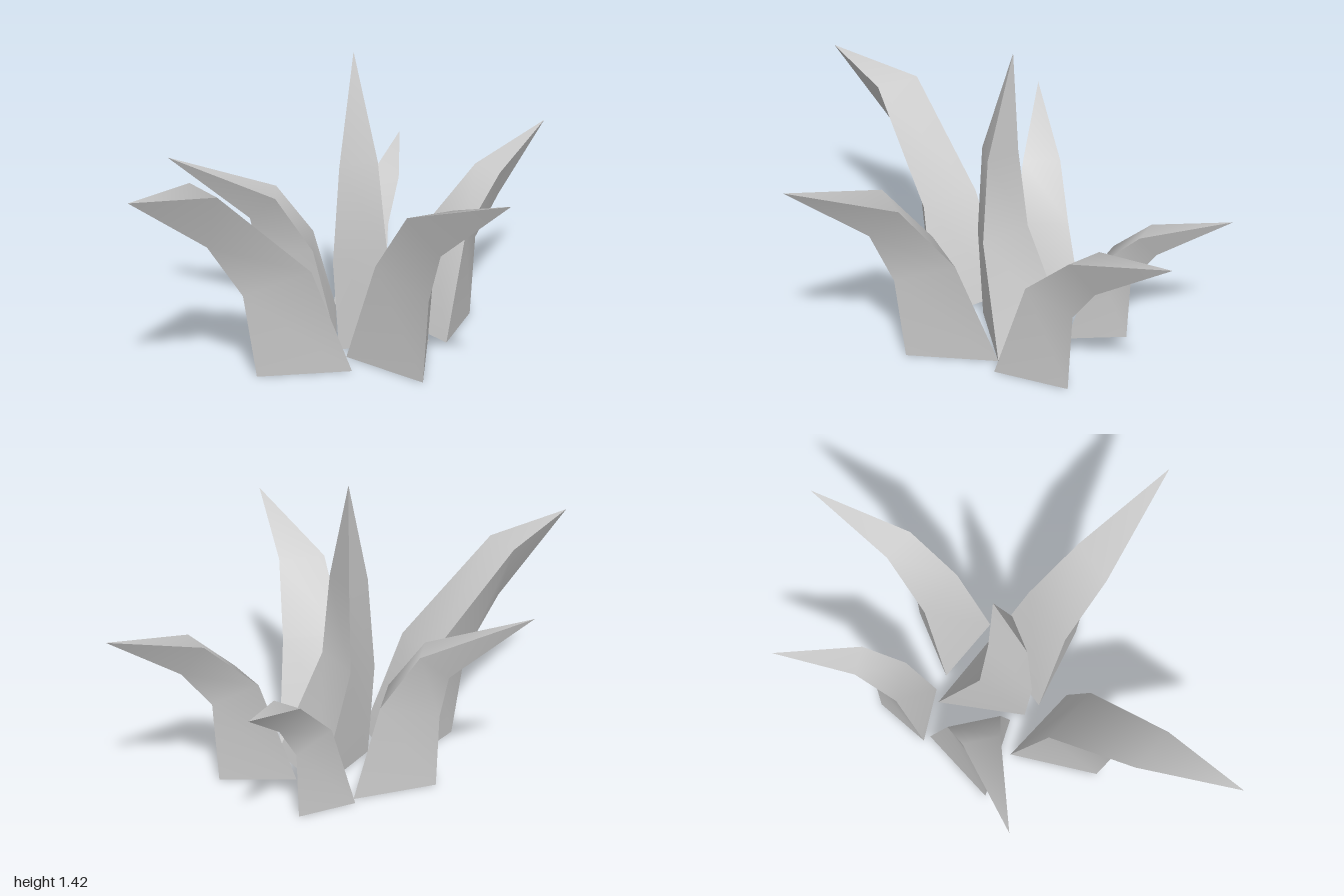
import * as THREE from 'three';

// Each blade: centre of its inner base edge [x, z], heading in degrees from +z,
// rings [inner reach, inner height, half width, outer reach, outer height], and tip [x, y, z].
const BLADES = [
  { name: 'centreLeaf', at: [0.215, -0.095], heading: -51, tip: [-0.01, 1.42, 0],
    rings: [[0, 0, 0.213, 0.385, 0], [0.208, 0.52, 0.135, 0.42, 0.45], [0.225, 0.93, 0.09, 0.38, 0.91]] },
  { name: 'frontRightLeaf', at: [-0.15, 0.205], heading: -55.5, tip: [-0.97, 1.04, 0.9],
    rings: [[0, 0, 0.212, 0.385, 0], [0.18, 0.52, 0.15, 0.45, 0.42], [0.64, 0.97, 0.112, 0.63, 0.7]] },
  { name: 'frontLeftLeaf', at: [0.145, 0.15], heading: 22, tip: [0.605, 1.04, 0.99],
    rings: [[0, 0, 0.212, 0.385, 0], [0.185, 0.52, 0.15, 0.43, 0.42], [0.435, 0.84, 0.114, 0.54, 0.68]] },
  { name: 'rightLeaf', at: [-0.09, -0.135], heading: -91, tip: [-0.88, 0.875, -0.13],
    rings: [[0, 0, 0.205, 0.36, 0], [0.11, 0.44, 0.13, 0.37, 0.36], [0.285, 0.69, 0.09, 0.41, 0.56]] },
  { name: 'backLeftLeaf', at: [0.32, -0.05], heading: 128, tip: [0.965, 0.865, -0.66],
    rings: [[0, 0, 0.178, 0.32, 0], [0.163, 0.51, 0.125, 0.345, 0.4], [0.416, 0.74, 0.086, 0.495, 0.59]] },
  { name: 'backLeaf', at: [0.025, -0.315], heading: 154, tip: [0.262, 0.7, -1],
    rings: [[0, 0, 0.139, 0.252, 0], [0.131, 0.42, 0.1, 0.265, 0.32], [0.33, 0.6, 0.072, 0.39, 0.49]] },
];

// Three-sided blade: smooth along each side, sharp along its three edges
function bladeGeometry({ at, heading, rings, tip }) {
  const a = THREE.MathUtils.degToRad(heading);
  const out = [Math.sin(a), Math.cos(a)];
  const side = [Math.cos(a), -Math.sin(a)];
  const point = (r, y, s) => [
    at[0] + out[0] * r + side[0] * s, y, at[1] + out[1] * r + side[1] * s];
  const corners = rings.map(([ri, yi, half, ro, yo]) =>
    [point(ro, yo, 0), point(ri, yi, half), point(ri, yi, -half)]);

  const pos = [], index = [];
  for (let i = 0; i < 3; i++) {
    const start = pos.length / 3;
    corners.forEach((ring) => pos.push(...ring[i], ...ring[(i + 1) % 3]));
    pos.push(...tip);
    for (let k = 0; k < corners.length; k++) {
      const v = start + k * 2;
      index.push(v, v + 1, v + 2); // at the last ring this meets the tip
      if (k < corners.length - 1) index.push(v + 1, v + 3, v + 2);
    }
  }
  // base cap
  const c = pos.length / 3;
  corners[0].forEach((p) => pos.push(...p));
  index.push(c, c + 2, c + 1);

  const geo = new THREE.BufferGeometry();
  geo.setAttribute('position', new THREE.Float32BufferAttribute(pos, 3));
  geo.setIndex(index);
  geo.computeVertexNormals();
  return geo;
}

export function createModel() {
  const group = new THREE.Group();
  group.name = 'grassTuft';
  const material = new THREE.MeshStandardMaterial({ color: 0xcccccc });
  for (const blade of BLADES) {
    const mesh = new THREE.Mesh(bladeGeometry(blade), material);
    mesh.name = blade.name;
    group.add(mesh);
  }
  return group;
}
